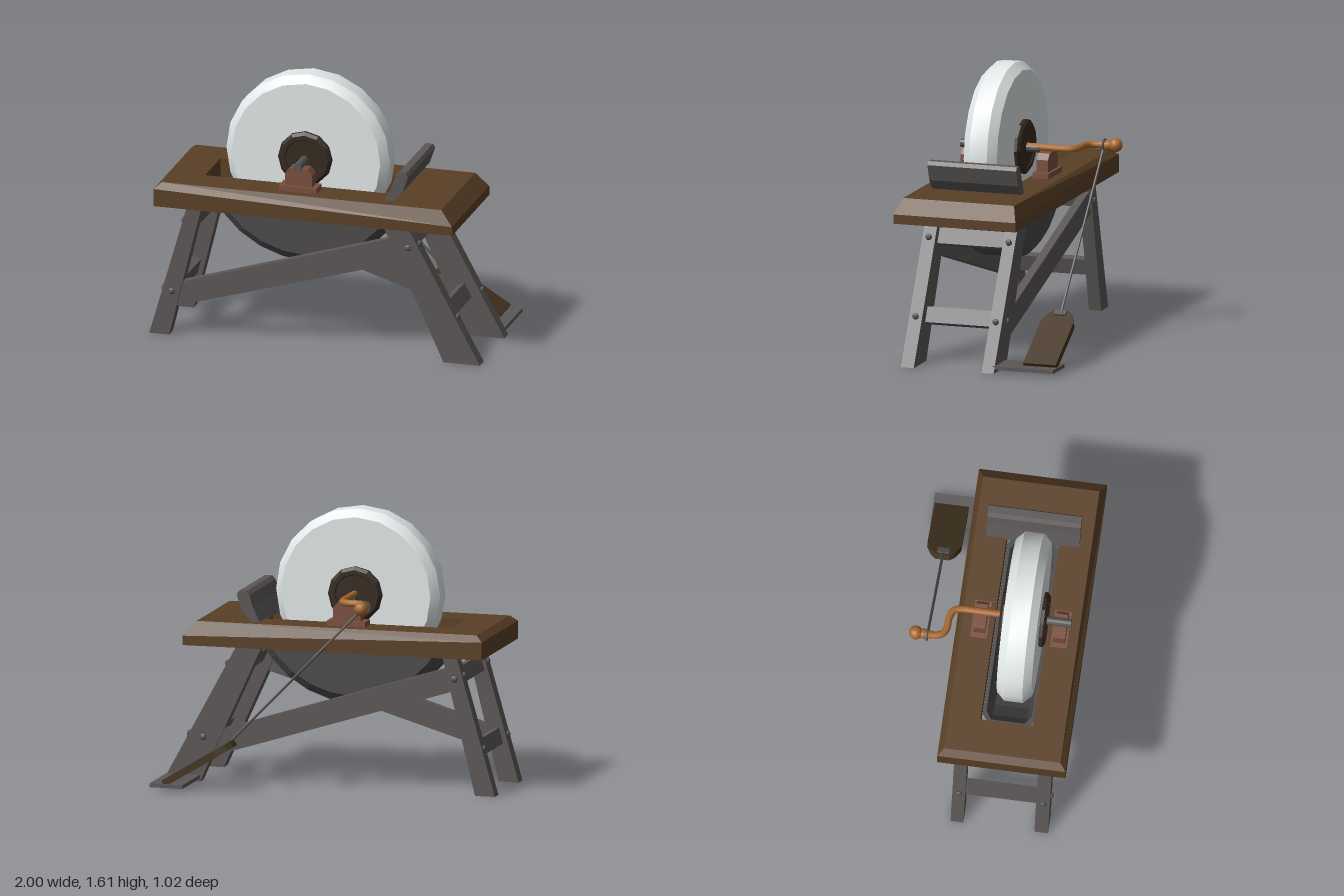
import * as THREE from 'three';
import { toCreasedNormals } from 'three/addons/utils/BufferGeometryUtils.js';

const mat = (color, flat = true) => new THREE.MeshStandardMaterial({ color, flatShading: flat });
const TIMBER = mat(0x5c5757), WOOD = mat(0x5a4026), STONE = mat(0xe2e8e8, false), HUB = mat(0x35291f),
  IRON = mat(0x555555), BRASS = mat(0xa8682c, false), CLAY = mat(0x7a4f40), PEDAL = mat(0x43331f);
const TROUGH = mat(0x4c4a4a);
TROUGH.side = THREE.DoubleSide;

const CX = -0.1, CY = 1.115; // wheel axis
const MID = 0.155;           // wheel centre in z

export function createModel() {
  const model = new THREE.Group();

  const add = (name, geometry, material, x = 0, y = 0, z = 0) => {
    const mesh = new THREE.Mesh(geometry, material);
    mesh.name = name;
    mesh.position.set(x, y, z);
    model.add(mesh);
    return mesh;
  };
  const shapeOf = (pts) => new THREE.Shape(pts.map(([x, y]) => new THREE.Vector2(x, y)));
  // side profile extruded from z0 to z1
  const prism = (name, pts, z0, z1, material) => add(name,
    new THREE.ExtrudeGeometry(shapeOf(pts), { depth: z1 - z0, bevelEnabled: false }), material, 0, 0, z0);
  // turned part around the z axis, profile as [radius, z]
  const turned = (profile, sides) => new THREE.LatheGeometry(
    profile.map(([r, z]) => new THREE.Vector2(r, z)), sides).rotateX(Math.PI / 2);
  // quads between successive closed loops of points
  const loft = (rings, wrap, extra = []) => {
    const pos = [];
    const quad = (a, b, c, d) => pos.push(...a, ...d, ...c, ...a, ...c, ...b);
    const count = wrap ? rings.length : rings.length - 1;
    for (let k = 0; k < count; k++) {
      const r = rings[k], s = rings[(k + 1) % rings.length];
      for (let i = 0; i < r.length; i++) {
        const j = (i + 1) % r.length;
        quad(r[i], r[j], s[j], s[i]);
      }
    }
    extra.forEach((q) => quad(...q));
    const g = new THREE.BufferGeometry();
    g.setAttribute('position', new THREE.Float32BufferAttribute(pos, 3));
    g.computeVertexNormals();
    return g;
  };

  // table top: slotted plank with chamfered upper edges, steeper at the right end
  const rect = (x0, x1, z0, z1, yl, yr = yl) =>
    [[x0, yl, z0], [x1, yr, z0], [x1, yr, z1], [x0, yl, z1]];
  add('tableTop', loft([
    rect(-0.70, 0.47, -0.02, 0.287, 0.815),
    rect(-0.945, 0.86, -0.24, 0.51, 0.815),
    rect(-0.945, 0.86, -0.24, 0.51, 0.92, 0.87),
    rect(-0.905, 0.785, -0.205, 0.475, 0.955),
    rect(-0.70, 0.47, -0.02, 0.287, 0.955),
  ], true), WOOD);

  // water trough: open curved box with a wall thickness
  const rim = 0.85, tz = 0.135, rings = [];
  const section = [ // [radius or null for rim, z]
    [0.59, -0.152, true], [0.59, -0.152], [0.64, -0.11], [0.64, 0.11], [0.59, 0.152], [0.59, 0.152, true],
    [0.57, 0.132, true], [0.57, 0.132], [0.615, 0.1], [0.615, -0.1], [0.57, -0.132], [0.57, -0.132, true],
  ];
  for (let k = 0; k <= 10; k++) {
    const t = k / 5 - 1;
    rings.push(section.map(([r, z, top]) => {
      const a = t * Math.acos((CY - rim) / r);
      return [CX + r * Math.sin(a), top ? rim : CY - r * Math.cos(a), tz + z];
    }));
  }
  const caps = [rings[0], rings[10]].flatMap((r) =>
    [0, 1, 2, 3, 4].map((i) => [r[i], r[i + 1], r[10 - i], r[11 - i]]));
  add('trough', loft(rings, false, caps), TROUGH);
  add('drainPlug', new THREE.CylinderGeometry(0.037, 0.037, 0.06, 8), IRON, CX, 0.475, tz);

  // grindstone
  add('grindstone', toCreasedNormals(turned(
    [[0, -0.102], [0.45, -0.102], [0.495, -0.055], [0.495, 0.055], [0.45, 0.102], [0, 0.102]], 20), 0.45),
    STONE, CX, CY, MID);

  // hubs and bearing blocks on both sides
  for (const s of [1, -1]) {
    const hub = add('hub', turned(
      [[0.15, 0], [0.163, 0.005], [0.163, 0.022], [0.145, 0.037], [0.12, 0.037], [0.115, 0.03], [0, 0.03]], 12),
      HUB, CX, CY, MID + s * 0.1);
    if (s < 0) hub.rotation.y = Math.PI;
    const bz = s > 0 ? 0.37 : -0.097;
    add('bearingBase', new THREE.BoxGeometry(0.23, 0.035, 0.1), CLAY, CX, 0.97, bz);
    prism('bearingBlock', [[-0.183, 0.98], [-0.017, 0.98], [-0.017, 1.06], [-0.045, 1.095],
      [-0.155, 1.095], [-0.183, 1.06]], bz - 0.035, bz + 0.035, CLAY);
  }
  add('axle', new THREE.CylinderGeometry(0.025, 0.025, 0.48, 10).rotateX(Math.PI / 2), IRON, CX, CY - 0.005, 0.19);

  // crank with ball grip
  const crankPath = new THREE.CatmullRomCurve3([
    [-0.1, 0.04], [-0.1, -0.1], [-0.1, -0.21], [-0.115, -0.255], [-0.16, -0.275], [-0.225, -0.28],
    [-0.265, -0.3], [-0.28, -0.345], [-0.28, -0.45],
  ].map(([x, z]) => new THREE.Vector3(x, 1.118, z)));
  add('crank', new THREE.TubeGeometry(crankPath, 40, 0.021, 10), BRASS);
  add('crankCollar', turned([[0.02, -0.05], [0.03, -0.03], [0.03, -0.015], [0.02, 0.04]], 12),
    BRASS, -0.28, 1.118, -0.39);
  add('crankBall', new THREE.SphereGeometry(0.041, 14, 10), BRASS, -0.28, 1.122, -0.455);
  add('rodRing', new THREE.TorusGeometry(0.033, 0.007, 6, 14), IRON, -0.28, 1.118, -0.387);

  // connecting rod from crank to pedal
  const rod = new THREE.LineCurve3(new THREE.Vector3(-0.26, 1.1, -0.387), new THREE.Vector3(0.54, 0.275, -0.405));
  add('connectingRod', new THREE.TubeGeometry(rod, 1, 0.008, 6), IRON);

  // pedal and its footplate
  const slope = -Math.atan(0.61);
  add('pedal', new THREE.ExtrudeGeometry(shapeOf([[0, -0.04], [0.03, -0.07], [0.1, -0.1], [0.465, -0.1],
    [0.465, 0.1], [0.1, 0.1], [0.03, 0.07], [0, 0.04]]), { depth: 0.04, bevelEnabled: false })
    .rotateX(Math.PI / 2).rotateZ(slope), PEDAL, 0.515, 0.3, -0.405);
  add('pedalBracket', new THREE.BoxGeometry(0.04, 0.02, 0.07), IRON, 0.54, 0.285, -0.405).rotation.z = slope;
  add('footPlate', new THREE.BoxGeometry(0.2, 0.022, 0.37), TIMBER, 0.88, 0.03, -0.328);

  // tool rest: bent plank across the table
  prism('toolRest', [[0.42, 0.945], [0.467, 1.045], [0.487, 1.11], [0.507, 1.132], [0.55, 1.132],
    [0.563, 1.11], [0.53, 1.015], [0.47, 0.945]], -0.14, 0.405, TIMBER);

  // legs, splayed along x
  const legZ = [[0.335, 0.415], [-0.155, -0.08]];
  for (const [z0, z1] of legZ) {
    prism('leftLeg', [[0.78, 0], [1, 0], [0.555, 0.82], [0.405, 0.82]], z0, z1, TIMBER);
    prism('rightLeg', [[-1, 0], [-0.88, 0], [-0.68, 0.82], [-0.766, 0.82]], z0, z1, TIMBER);
  }

  // diagonal braces, crossing front to back
  prism('frontBrace', [[-0.86, 0.17], [0.58, 0.6], [0.5, 0.735], [-0.82, 0.325]], 0.35, 0.4, TIMBER);
  prism('backBrace', [[-0.74, 0.605], [0.76, 0.135], [0.68, 0.305], [-0.72, 0.745]], -0.142, -0.092, TIMBER);

  // crossbars between front and back legs, with bolts through the outer leg faces
  const bolt = (x, y, z, axis) => {
    const g = new THREE.SphereGeometry(0.02, 8, 6);
    if (axis === 'z') g.scale(1, 1, 0.7); else g.scale(0.7, 1, 1);
    add('bolt', g, IRON, x, y, z);
  };
  for (const y of [0.69, 0.265]) {
    for (const [x, lean, outer] of [
      [0.89 - 0.5 * y, Math.atan(0.5), 1 - 0.543 * y],
      [-0.94 + 0.265 * y, -Math.atan(0.265), -1 + 0.285 * y],
    ]) {
      add('crossbar', new THREE.BoxGeometry(0.05, 0.095, 0.43), TIMBER, x, y, 0.128).rotation.z = lean;
      for (const z of [0.375, -0.117]) bolt(outer, y + 0.01, z, 'x');
    }
  }
  // brace bolts
  bolt(-0.865, 0.27, 0.417, 'z');
  bolt(0.565, 0.68, 0.417, 'z');
  bolt(-0.755, 0.68, -0.157, 'z');
  bolt(0.76, 0.265, -0.157, 'z');

  return model;
}
